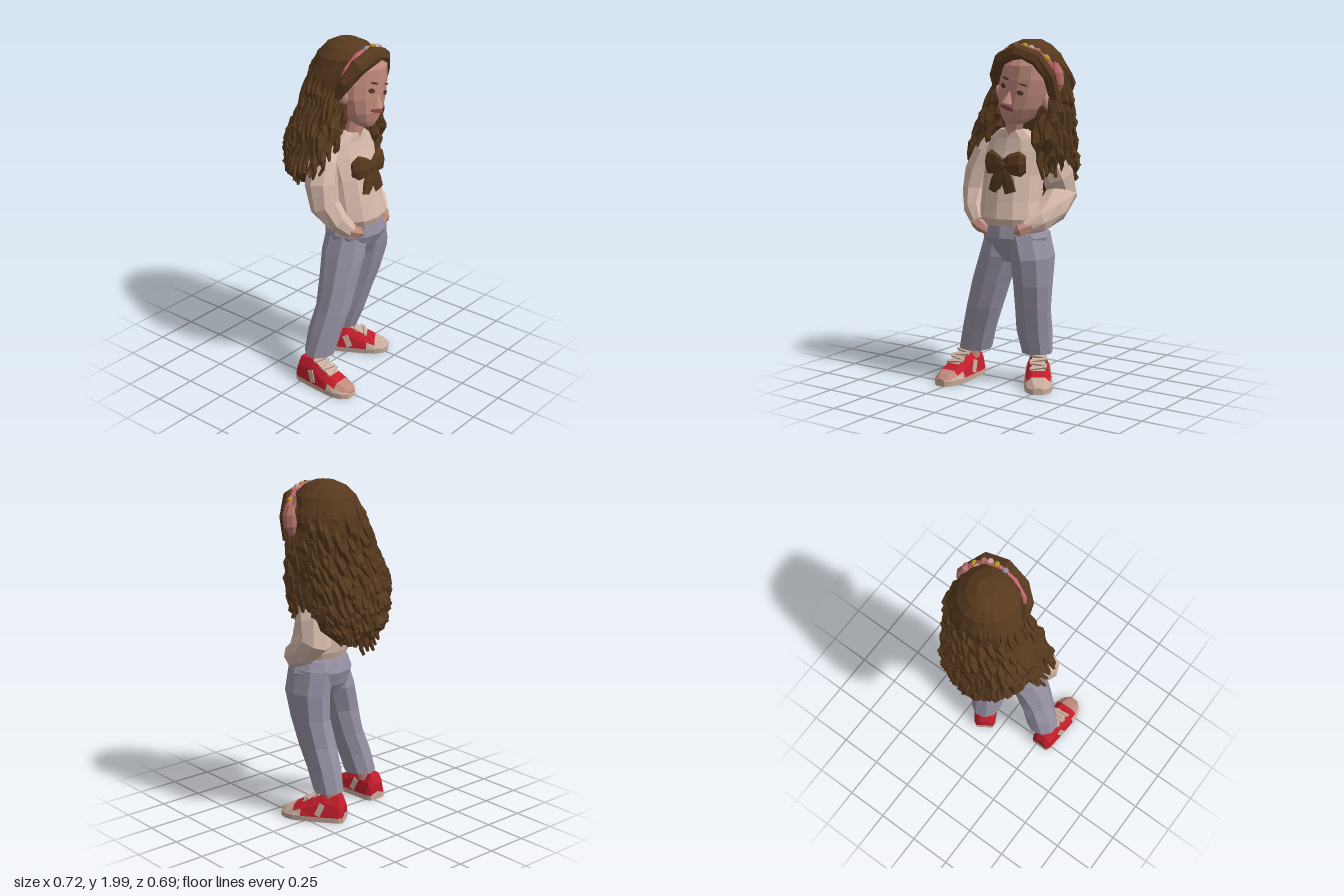
import * as THREE from 'three';

const paint = (name, color) => Object.assign(new THREE.MeshStandardMaterial({ color }), { name });
const V = (x, y, z) => new THREE.Vector3(x, y, z);

export function createModel() {
  const hair = paint('hair brown', 0x57391e), knit = paint('sweater cream', 0xd6b9aa);
  const denim = paint('trouser grey', 0x9893a5), skin = paint('skin', 0xc08a7c);
  const red = paint('shoe red', 0xc41e2c), rubber = paint('sole beige', 0xc9ad9e);
  const pink = paint('band pink', 0xc4656c), yellow = paint('flower yellow', 0xb8991c);
  const lips = paint('lips', 0x8c4542), dusty = paint('dusty pink', 0xb07068);
  const model = new THREE.Group();

  let seed = 7;
  const rnd = () => (seed = (seed * 16807) % 2147483647) / 2147483647 - 0.5;

  function add(name, geo, mat, parent = model) {
    const m = new THREE.Mesh(geo, mat);
    m.name = name;
    parent.add(m);
    return m;
  }

  // Faceted skin over rings that run counter-clockwise about their direction of travel
  function loft(rings, pick = () => 0) {
    const buckets = [];
    const tri = (k, ...p) => (buckets[k] ??= []).push(...p.flatMap(v => [v.x, v.y, v.z]));
    const n = rings[0].length, last = rings.length - 1;
    for (let i = 0; i < last; i++) for (let j = 0; j < n; j++) {
      const a = rings[i], b = rings[i + 1], k = (j + 1) % n, m = pick(i, j);
      tri(m, a[j], a[k], b[k]);
      tri(m, a[j], b[k], b[j]);
    }
    for (const end of [0, last]) {
      const r = rings[end], c = r.reduce((s, p) => s.add(p), V(0, 0, 0)).divideScalar(n);
      r.forEach((p, j) => {
        const q = r[(j + 1) % n];
        end ? tri(pick(last - 1, j), c, p, q) : tri(pick(0, j), c, q, p);
      });
    }
    const geo = new THREE.BufferGeometry(), all = [];
    buckets.forEach((b, k) => {
      geo.addGroup(all.length / 3, b.length / 3, k);
      for (const x of b) all.push(x);
    });
    geo.setAttribute('position', new THREE.Float32BufferAttribute(all, 3));
    geo.computeVertexNormals();
    return geo;
  }

  // Level slices, bottom to top: [y, centre x, centre z, radius x, radius z]
  const slices = (rows, sides, rough = 0) => loft(rows.map(([y, cx, cz, rx, rz]) =>
    Array.from({ length: sides }, (_, j) => {
      const t = (j / sides) * Math.PI * 2, k = 1 + rough * rnd() * 2;
      return V(cx + Math.cos(t) * rx * k, y + rough * rnd() * 0.1, cz - Math.sin(t) * rz * k);
    })));

  // Tube with its own radius at each point: [x, y, z, radius]
  function limb(path, sides, rough = 0, squash = 1) {
    const pts = path.map(p => V(p[0], p[1], p[2]));
    return loft(pts.map((p, i) => {
      const T = pts[Math.min(i + 1, pts.length - 1)].clone().sub(pts[Math.max(i - 1, 0)]).normalize();
      const N = V(0, 0, 1).addScaledVector(T, -T.z).normalize(), B = T.clone().cross(N);
      return Array.from({ length: sides }, (_, j) => {
        const t = (j / sides) * Math.PI * 2, r = path[i][3] * (1 + rough * rnd() * 2);
        return p.clone().addScaledVector(N, Math.cos(t) * r * squash).addScaledVector(B, Math.sin(t) * r);
      });
    }));
  }

  // Slice values at any height
  function sliceAt(rows, y) {
    let i = 0;
    while (i < rows.length - 2 && rows[i + 1][0] < y) i++;
    const k = THREE.MathUtils.clamp((y - rows[i][0]) / (rows[i + 1][0] - rows[i][0]), 0, 1);
    return rows[i].map((v, c) => v + (rows[i + 1][c] - v) * k);
  }

  // Trousers
  add('hips', slices([[0.755, 0.075, 0.07, 0.1, 0.1], [0.82, 0.077, 0.07, 0.18, 0.14], [0.9, 0.08, 0.075, 0.195, 0.172],
    [0.97, 0.075, 0.08, 0.165, 0.158]], 12, 0.02), denim);
  add('rightLeg', slices([[0.19, -0.225, 0.055, 0.098, 0.09], [0.32, -0.185, 0.07, 0.105, 0.1], [0.46, -0.135, 0.085, 0.105, 0.105],
    [0.62, -0.085, 0.09, 0.11, 0.115], [0.78, -0.03, 0.08, 0.118, 0.135], [0.92, 0.0, 0.08, 0.1, 0.13]], 9, 0.05), denim);
  add('leftLeg', slices([[0.19, 0.13, -0.06, 0.092, 0.095], [0.32, 0.135, -0.025, 0.1, 0.11], [0.46, 0.15, 0.015, 0.105, 0.115],
    [0.62, 0.17, 0.05, 0.108, 0.125], [0.78, 0.178, 0.065, 0.115, 0.15], [0.92, 0.155, 0.07, 0.11, 0.155]], 9, 0.05), denim);

  // Sweater with sleeves and hands
  add('sweater', slices([[0.955, 0.065, 0.1, 0.165, 0.13], [1.01, 0.06, 0.1, 0.195, 0.15], [1.1, 0.05, 0.085, 0.185, 0.145],
    [1.25, 0.05, 0.06, 0.18, 0.135], [1.38, 0.05, 0.04, 0.195, 0.105], [1.45, 0.05, 0.04, 0.16, 0.085],
    [1.5, 0.05, 0.055, 0.085, 0.065]], 12, 0.02), knit);
  add('rightSleeve', limb([[-0.09, 1.43, 0.02, 0.06], [-0.145, 1.36, 0.025, 0.088], [-0.19, 1.24, 0.045, 0.092], [-0.198, 1.12, 0.075, 0.086],
    [-0.16, 1.03, 0.135, 0.07], [-0.1, 0.965, 0.18, 0.048]], 8, 0.06), knit);
  add('leftSleeve', limb([[0.18, 1.41, 0.0, 0.06], [0.225, 1.35, -0.03, 0.09], [0.255, 1.23, -0.085, 0.095], [0.268, 1.13, -0.11, 0.092],
    [0.272, 1.055, -0.01, 0.085], [0.245, 0.995, 0.1, 0.068], [0.19, 0.965, 0.17, 0.048]], 8, 0.06), knit);
  add('rightHand', limb([[-0.12, 0.97, 0.185, 0.036], [-0.07, 0.95, 0.21, 0.036], [-0.03, 0.925, 0.2, 0.022]], 6, 0.05), skin);
  add('leftHand', limb([[0.23, 0.97, 0.155, 0.036], [0.185, 0.95, 0.2, 0.036], [0.145, 0.925, 0.2, 0.022]], 6, 0.05), skin);

  // Chest bow
  const bow = new THREE.Group();
  bow.name = 'chestBow';
  model.add(bow);
  for (const s of [-1, 1]) {
    add('bowLoop', limb([[0.07, 1.305, 0.195, 0.035], [0.07 + s * 0.045, 1.31, 0.193, 0.06], [0.07 + s * 0.1, 1.315, 0.178, 0.072],
      [0.07 + s * 0.13, 1.315, 0.16, 0.045]], 7, 0.08, 0.4), hair, bow);
    add('bowTail', limb([[0.07, 1.3, 0.2, 0.03], [0.07 + s * 0.035, 1.22, 0.203, 0.042], [0.07 + s * 0.055, 1.155, 0.203, 0.04]],
      6, 0.08, 0.35), hair, bow);
  }
  add('bowKnot', new THREE.IcosahedronGeometry(0.03), hair, bow).position.set(0.07, 1.305, 0.197);

  // Head and neck
  const headRows = [[1.535, 0.1, 0.125, 0.05, 0.05], [1.565, 0.107, 0.1, 0.09, 0.09], [1.62, 0.115, 0.085, 0.125, 0.118],
    [1.7, 0.125, 0.07, 0.148, 0.135], [1.78, 0.14, 0.06, 0.155, 0.143], [1.86, 0.15, 0.05, 0.145, 0.15], [1.92, 0.16, 0.04, 0.11, 0.125]];
  add('head', slices(headRows, 14, 0.012), skin);
  add('neck', limb([[0.05, 1.43, 0.06, 0.06], [0.06, 1.5, 0.075, 0.05], [0.09, 1.6, 0.085, 0.055]], 8), skin);
  const nose = add('nose', new THREE.ConeGeometry(0.034, 0.075, 6), skin);
  nose.scale.z = 1.15;
  nose.position.set(0.113, 1.69, 0.2);
  nose.rotation.set(-0.1, 0, -0.2);
  for (const [x, y] of [[-0.035, 1.715], [0.28, 1.66]]) {
    const ear = add('ear', new THREE.IcosahedronGeometry(1, 1), skin);
    ear.scale.set(0.022, 0.045, 0.03);
    ear.position.set(x, y, 0.075);
  }

  // Painted face details, following the tilt of the head
  const faceDetail = (name, x, y, w, h, mat) => {
    const [, cx, cz, rx, rz] = sliceAt(headRows, y), u = (x - cx) / rx;
    const m = add(name, new THREE.CylinderGeometry(1, 1, 0.009, 10).rotateX(Math.PI / 2), mat);
    m.scale.set(w, h, 1);
    m.position.set(x, y, cz + rz * Math.sqrt(1 - u * u));
    m.rotation.set(0, u * 0.75, -0.27, 'YXZ');
  };
  faceDetail('rightEye', 0.07, 1.75, 0.02, 0.014, hair);
  faceDetail('leftEye', 0.183, 1.712, 0.02, 0.013, hair);
  faceDetail('rightBrow', 0.09, 1.79, 0.026, 0.006, hair);
  faceDetail('leftBrow', 0.2, 1.757, 0.026, 0.005, hair);
  faceDetail('mouth', 0.103, 1.628, 0.05, 0.012, lips);

  // Hair: cap and falling mass
  const hairRows = [[1.12, 0.09, -0.235, 0.11, 0.05], [1.2, 0.075, -0.2, 0.21, 0.12], [1.32, 0.06, -0.145, 0.255, 0.17],
    [1.45, 0.05, -0.125, 0.262, 0.165], [1.58, 0.08, -0.1, 0.24, 0.15], [1.7, 0.105, -0.085, 0.222, 0.145],
    [1.82, 0.115, -0.06, 0.21, 0.165], [1.92, 0.115, -0.02, 0.168, 0.168], [1.97, 0.115, -0.015, 0.115, 0.125], [2, 0.12, -0.02, 0.05, 0.06]];
  add('hairMass', slices(hairRows.slice(0, 6), 28, 0.035), hair);
  add('hairCap', slices(hairRows.slice(5), 18, 0.015), hair);
  add('fringe', limb([[-0.06, 1.72, 0.05, 0.03], [-0.045, 1.8, 0.09, 0.04], [0.02, 1.885, 0.125, 0.05], [0.13, 1.928, 0.142, 0.052],
    [0.24, 1.895, 0.125, 0.05], [0.305, 1.8, 0.085, 0.04], [0.32, 1.68, 0.05, 0.035]], 8, 0.07), hair);

  // Hair: curly strands in tiers around the sides and back
  const strands = new THREE.Group();
  strands.name = 'hairStrands';
  model.add(strands);
  const curl = (at, top, end, r) => {
    const phase = rnd() * 6, steps = 9;
    const path = Array.from({ length: steps + 1 }, (_, i) => {
      const k = i / steps, y = top + (end - top) * k, [x, z] = at(y);
      const w = 0.013 * Math.min(1, k * 3);
      return [x + w * Math.sin(phase + k * 14), y, z + w * Math.cos(phase + k * 14),
        r * (0.15 + 0.85 * Math.sin(Math.PI * (0.03 + 0.92 * k))) * (i % 2 ? 1.15 : 0.85)];
    });
    add('strand', limb(path, 5, 0.12), hair, strands);
  };
  [[1.88, 14], [1.76, 18], [1.64, 22], [1.52, 26], [1.4, 28]].forEach(([top, count]) => {
    for (let i = 0; i < count; i++) {
      const a = -0.4 + (Math.PI + 0.8) * (i + 0.5 + rnd() * 0.6) / count;
      const low = 1.27 - 0.19 * Math.max(0, Math.sin(a)) + rnd() * 0.05;
      curl(y => {
        const [, cx, cz, rx, rz] = sliceAt(hairRows, Math.max(y, 1.18));
        return [cx + Math.cos(a) * (rx - 0.008), cz - Math.sin(a) * (rz - 0.008)];
      }, top + rnd() * 0.08, Math.max(low, top - 0.4), 0.026);
    }
  });

  // Hair: locks hanging in front of and over the shoulders
  for (let i = 0; i < 7; i++) {
    const k = i / 6, z = 0.05 + 0.03 * (i % 2);
    curl(y => [0.2 + 0.11 * k + 0.05 * (y - 1.4), z], 1.7, 1.24 + 0.06 * rnd(), 0.027);
    curl(y => [-0.115 - 0.12 * k + (y - 1.4) * 0.45, z], 1.7, 1.33 + 0.08 * rnd(), 0.024);
  }
  for (let i = 0; i < 6; i++) {
    const z = 0.05 - 0.03 * i;
    curl(y => [0.312 - 0.02 * Math.max(0, y - 1.5), z], 1.78, 1.25 + 0.06 * rnd(), 0.03);
    curl(y => [-0.235 + (y - 1.4) * 0.42, z], 1.76, 1.31 + 0.06 * rnd(), 0.03);
  }

  // Headband with side bow and flowers
  const band = [[-0.072, 1.76, 0.06, 0.01], [-0.03, 1.88, 0.09, 0.012], [0.04, 1.945, 0.11, 0.014], [0.14, 1.965, 0.118, 0.014],
    [0.23, 1.942, 0.107, 0.014], [0.3, 1.87, 0.07, 0.014], [0.325, 1.78, 0.04, 0.014]];
  add('headband', limb(band, 6, 0.03), pink);
  add('headbandBow', limb([[0.31, 1.87, 0.04, 0.018], [0.32, 1.82, 0.033, 0.036], [0.322, 1.76, 0.028, 0.037], [0.315, 1.71, 0.028, 0.016]],
    7, 0.05), dusty);
  add('bowTrim', limb([[0.32, 1.88, 0.06, 0.01], [0.335, 1.82, 0.064, 0.014], [0.335, 1.75, 0.058, 0.012]], 5), pink);
  [[0.11, 1.966, 0.118, denim], [0.165, 1.966, 0.12, yellow], [0.205, 1.956, 0.117, rubber], [0.24, 1.94, 0.107, dusty],
    [0.285, 1.895, 0.082, yellow]].forEach(([x, y, z, mat]) =>
    add('flower', new THREE.IcosahedronGeometry(0.019), mat).position.set(x, y, z));

  // Shoes: stations [z, half width, height] from heel to toe
  const stations = [[-0.1, 0.05, 0.11], [-0.075, 0.064, 0.165], [0.02, 0.072, 0.175], [0.08, 0.076, 0.15], [0.15, 0.08, 0.115],
    [0.2, 0.078, 0.09], [0.25, 0.06, 0.07], [0.28, 0.03, 0.05]];
  const outline = [[1, 0.01], [1.04, 0.042]], upper = [[0.88, 0.7], [0.5, 1]];
  function shoe(name, x, z, turn, ankleX, toe) {
    const g = new THREE.Group();
    g.name = name;
    model.add(g);
    const rings = stations.map(([sz, w, h]) => {
      const half = [...outline.map(([a, y]) => V(a * w, y, sz)), ...upper.map(([a, k]) => V(a * w, Math.max(k * h, 0.044), sz))];
      return [...half, ...half.slice().reverse().map(p => V(-p.x, p.y, p.z))];
    });
    // Red sides with a beige sole, tongue and lower toe, and a plain toe cap
    add('shoeBody', loft(rings, (i, j) => {
      const lower = j === 1 || j === 5;
      if (j === 0 || j >= 6 || (lower && i >= 4)) return 1;
      if (i >= 5) return 2;
      return j === 3 && i > 1 && i < 4 ? 1 : 0;
    }), [red, rubber, toe], g);
    for (let i = 0; i < 4; i++) {
      const lace = add('lace', new THREE.BoxGeometry(0.1, 0.012, 0.018), rubber, g);
      lace.position.set(0, 0.172 - i * 0.015, 0.045 + i * 0.03);
      lace.rotation.set(0.45, i % 2 ? 0.2 : -0.2, 0);
    }
    // Beige flash on each side of the instep
    for (const s of [-1, 1]) {
      const flash = add('sideFlash', new THREE.BoxGeometry(0.008, 0.075, 0.035), rubber, g);
      flash.position.set(s * 0.071, 0.085, 0.035);
      flash.rotation.set(-0.4, 0, s * 0.12);
    }
    add('ankle', new THREE.CylinderGeometry(0.046, 0.046, 0.1, 8), skin, g).position.set(ankleX, 0.175, -0.01);
    g.position.set(x, 0, z);
    g.rotation.y = turn;
  }
  shoe('rightShoe', -0.275, 0.06, 0, 0.02, skin);
  shoe('leftShoe', 0.138, -0.065, 0.58, 0, rubber);
  return model;
}
